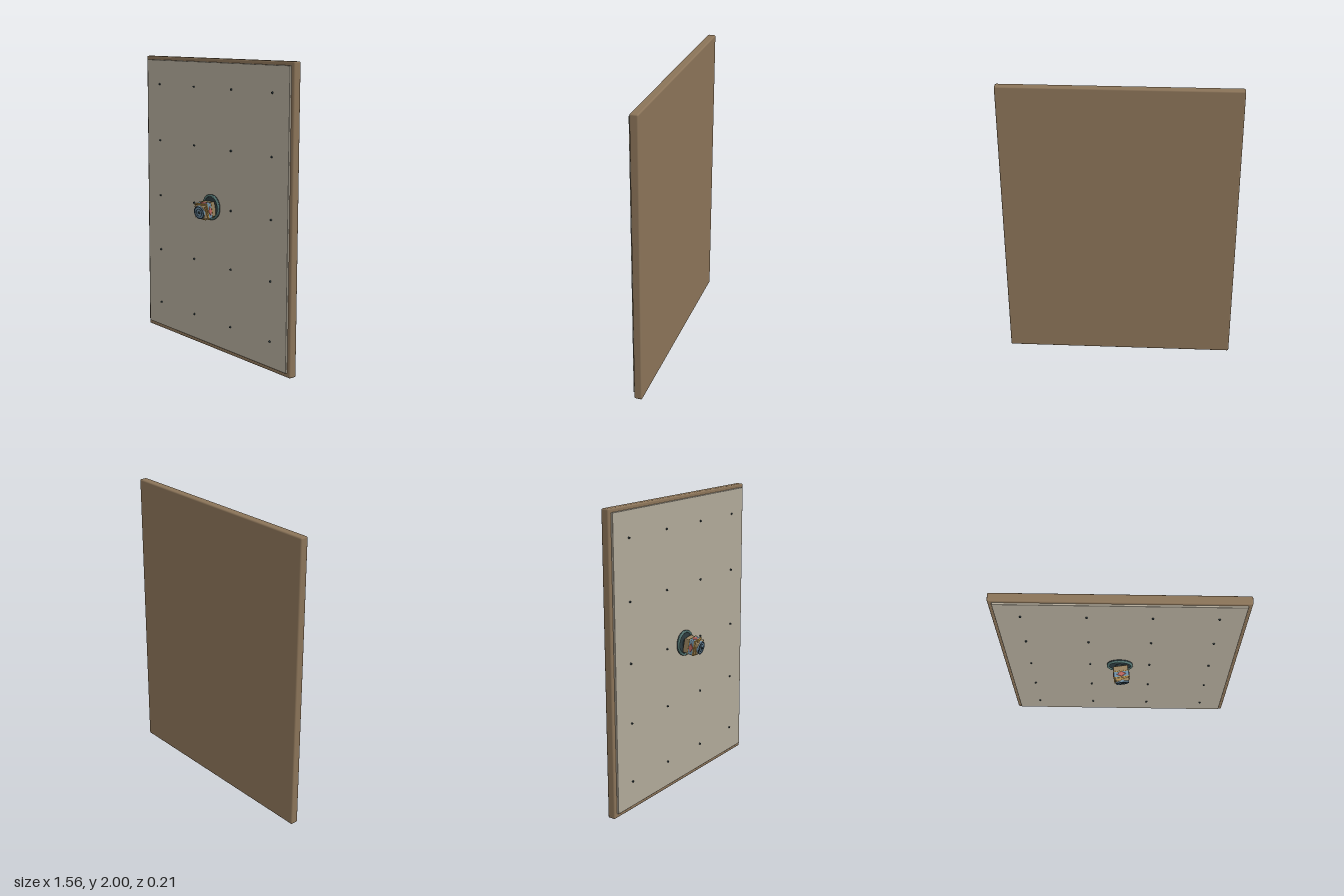
import * as THREE from 'three';
import { RoundedBoxGeometry } from 'three/addons/geometries/RoundedBoxGeometry.js';

const mat = (color) => new THREE.MeshStandardMaterial({ color });
const wood = mat(0x8a7358), plaster = mat(0xb0a898), dark = mat(0x2c3a3e), teal = mat(0x4f6f6c);
const tan = mat(0x94805f), blue = mat(0x6f8ea3), navy = mat(0x34495a), rose = mat(0xb8645c), ochre = mat(0xb08a45);

function add(parent, name, geometry, material, x = 0, y = 0, z = 0) {
  const mesh = new THREE.Mesh(geometry, material);
  mesh.name = name;
  mesh.position.set(x, y, z);
  parent.add(mesh);
  return mesh;
}

// Cylinder whose axis runs along z
const disc = (rFront, rBack, depth, sides = 32) =>
  new THREE.CylinderGeometry(rFront, rBack, depth, sides).rotateX(Math.PI / 2);

// Square hoop around the z axis
function hoop(outer, inner, depth) {
  const square = (s, Kind) => new Kind([[-s, -s], [s, -s], [s, s], [-s, s]].map(([x, y]) => new THREE.Vector2(x, y)));
  const shape = square(outer, THREE.Shape);
  shape.holes.push(square(inner, THREE.Path));
  return new THREE.ExtrudeGeometry(shape, { depth, bevelEnabled: false }).translate(0, 0, -depth / 2);
}

export function createModel() {
  const model = new THREE.Group();
  model.name = 'wallPanelWithDevice';

  // Backing board and raised face panel
  add(model, 'backingBoard', new RoundedBoxGeometry(1.56, 2, 0.055, 2, 0.01), wood, 0, 1, -0.0775);
  add(model, 'facePanel', new RoundedBoxGeometry(1.51, 1.945, 0.025, 1, 0.004), plaster, 0, 1.003, -0.0495);

  // Grid of small studs
  for (const x of [-0.6, -0.2, 0.2, 0.6])
    for (const y of [0.2, 0.6, 1, 1.4, 1.8])
      add(model, 'stud', disc(0.005, 0.007, 0.01, 10), dark, x, y + 0.005, -0.033);

  // Round mounting plate with a raised rim
  add(model, 'mountPlate', disc(0.084, 0.086, 0.014, 40), dark, 0, 1.003, -0.031);
  add(model, 'mountRim', new THREE.TorusGeometry(0.08, 0.008, 10, 40), teal, 0, 1.003, -0.024);

  // Boxy device, aimed slightly down and to its left
  const device = new THREE.Group();
  device.name = 'device';
  device.position.set(0.003, 1, -0.02);
  device.rotation.set(0.17, 0.14, 0);
  model.add(device);

  add(device, 'neck', disc(0.035, 0.035, 0.03, 20), dark, 0, 0, -0.002);
  add(device, 'rearBody', new RoundedBoxGeometry(0.1, 0.1, 0.04, 2, 0.006), tan, 0, 0, 0.022);
  add(device, 'middleBody', new RoundedBoxGeometry(0.104, 0.104, 0.045, 2, 0.006), blue, 0, 0, 0.057);
  add(device, 'rearTrim', hoop(0.054, 0.045, 0.005), ochre, 0, 0, 0.04);
  add(device, 'frontTrim', hoop(0.054, 0.045, 0.006), ochre, 0, 0, 0.08);

  // Rose diamond and slanted band on each of the four sides
  for (let i = 0; i < 4; i++) {
    const side = new THREE.Group();
    side.name = 'sideDecoration';
    side.rotation.z = i * Math.PI / 2;
    device.add(side);
    const diamond = new THREE.CylinderGeometry(0.02, 0.024, 0.006, 4);
    diamond.scale(1.5, 1, 0.8);
    add(side, 'diamond', diamond, rose, 0, 0.0525, 0.059);
    add(side, 'slantedBand', new THREE.BoxGeometry(0.085, 0.006, 0.008), ochre, 0, 0.05, 0.091).rotation.y = 0.2;
  }

  // Front barrel with stepped rings and a centre lens
  add(device, 'frontBlock', new RoundedBoxGeometry(0.094, 0.094, 0.03, 2, 0.012), tan, 0, 0, 0.092);
  add(device, 'barrel', disc(0.044, 0.047, 0.03), blue, 0, 0, 0.1);
  add(device, 'barrelRim', new THREE.TorusGeometry(0.041, 0.004, 8, 32), navy, 0, 0, 0.114);
  add(device, 'innerRing', new THREE.TorusGeometry(0.025, 0.002, 8, 32), navy, 0, 0, 0.115);
  add(device, 'lens', disc(0.008, 0.01, 0.005, 20), dark, 0, 0, 0.117);

  return model;
}
